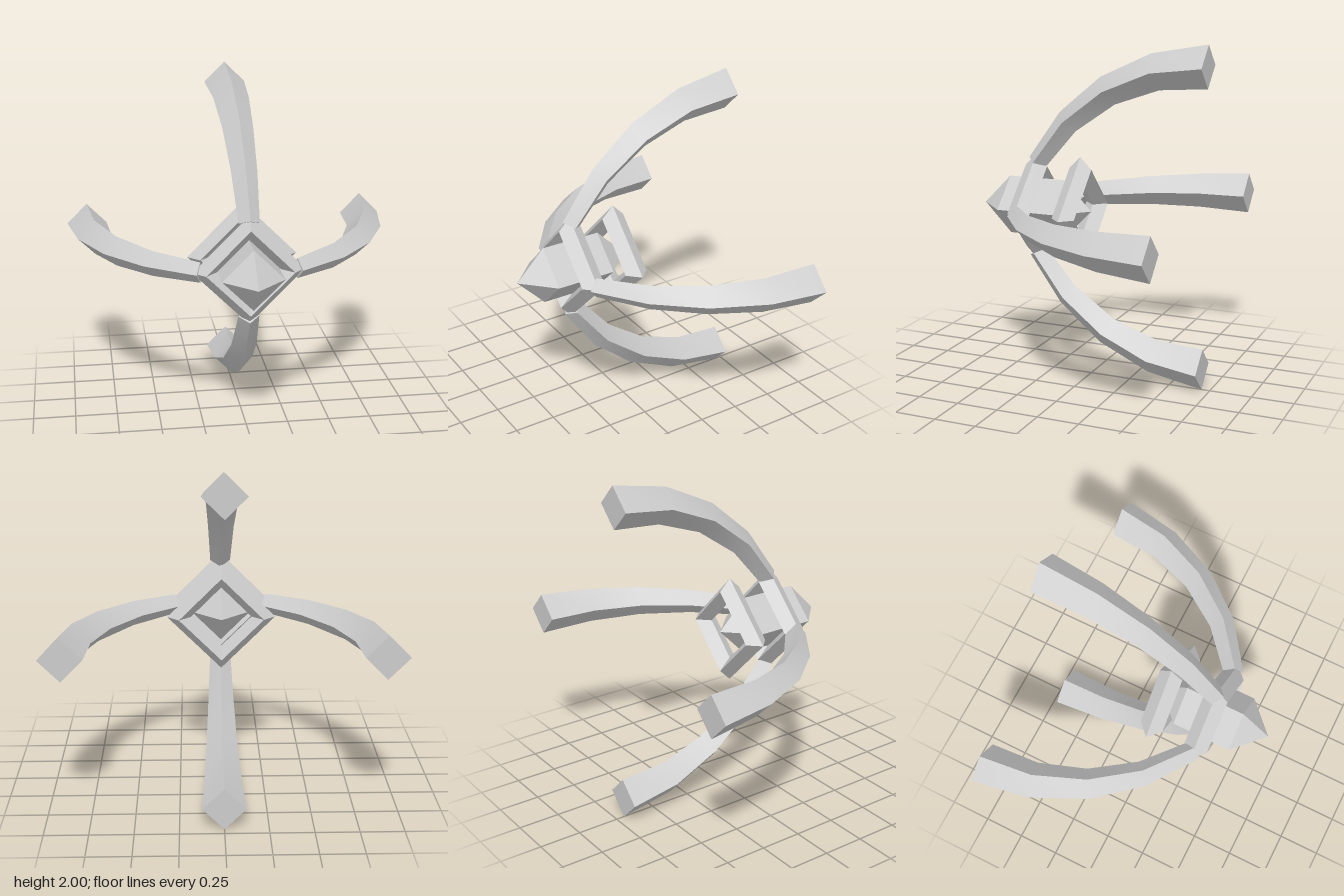
import * as THREE from 'three';
import { toCreasedNormals } from 'three/addons/utils/BufferGeometryUtils.js';

const smooth = new THREE.MeshStandardMaterial({ color: 0xcccccc });
const flat = new THREE.MeshStandardMaterial({ color: 0xcccccc, flatShading: true });

// Curved, widening arm with a diamond section, pointing up and sweeping back.
// Each station: outer ridge [z, r], side ridges [z, r], inner ridge [z, r], half width
function armGeometry() {
  const stations = [
    [0.40, 0.30, 0.35, 0.275, 0.29, 0.25, 0.06],
    [0.20, 0.58, 0.155, 0.525, 0.10, 0.47, 0.075],
    [-0.055, 0.795, -0.10, 0.718, -0.145, 0.64, 0.09],
    [-0.365, 0.94, -0.39, 0.838, -0.415, 0.735, 0.107],
    [-0.70, 1.0, -0.70, 0.877, -0.70, 0.755, 0.124],
  ];
  const positions = [];
  const index = [];
  for (const [zo, ro, zm, rm, zi, ri, w] of stations) {
    positions.push(0, ro, zo, w, rm, zm, 0, ri, zi, -w, rm, zm);
  }
  const last = (stations.length - 1) * 4;
  for (let i = 0; i < last; i += 4) {
    for (let j = 0; j < 4; j++) {
      const a = i + j, b = i + (j + 1) % 4;
      index.push(a, b, b + 4, a, b + 4, a + 4);
    }
  }
  // End caps
  index.push(0, 2, 1, 0, 3, 2, last, last + 1, last + 2, last, last + 2, last + 3);
  const g = new THREE.BufferGeometry();
  g.setAttribute('position', new THREE.Float32BufferAttribute(positions, 3));
  g.setIndex(index);
  return toCreasedNormals(g, 0.7);
}

export function createModel() {
  const model = new THREE.Group();
  model.name = 'model';

  const add = (name, geometry, material, z = 0) => {
    const mesh = new THREE.Mesh(geometry, material);
    mesh.name = name;
    mesh.position.set(0, 1, z);
    model.add(mesh);
    return mesh;
  };

  // Square core, pointed at the front and the back
  const profile = [[0, 0], [0.175, 0.175], [0.175, 0.53], [0, 0.70]]
    .map(([r, z]) => new THREE.Vector2(r, z));
  add('core', new THREE.LatheGeometry(profile, 4).rotateX(Math.PI / 2), flat);

  // Two square rings with a diamond section
  const ring = new THREE.TorusGeometry(0.25, 0.07, 4, 4);
  add('frontRing', ring, flat, 0.355);
  add('backRing', ring, flat, 0.07);

  // Four arms around the front ring
  const arm = armGeometry();
  ['topArm', 'leftArm', 'bottomArm', 'rightArm'].forEach((name, i) => {
    add(name, arm, smooth).rotation.z = -i * Math.PI / 2;
  });

  return model;
}
